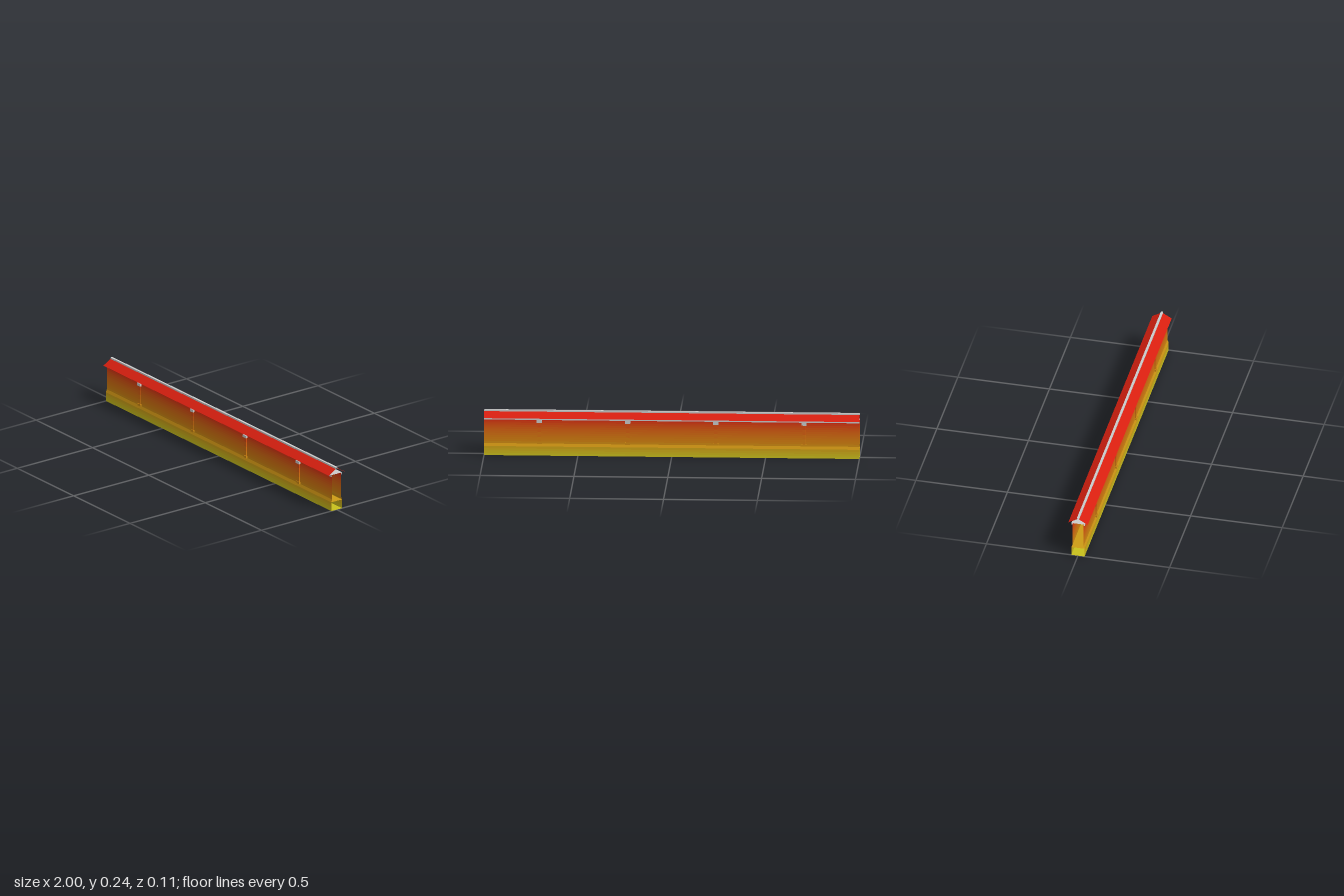
import * as THREE from 'three';

const LOW = new THREE.Color(0xc8c01c);
const MID = new THREE.Color(0xd0800f);
const HIGH = new THREE.Color(0xd81f10);

// Paint colour by height: yellow at the ground, red under the eaves
function paint(y) {
  const t = THREE.MathUtils.clamp(y / 0.2, 0, 1);
  return t < 0.4 ? LOW.clone().lerp(MID, t / 0.4) : MID.clone().lerp(HIGH, (t - 0.4) / 0.6);
}

function material(color) {
  return new THREE.MeshStandardMaterial({ color, side: THREE.DoubleSide });
}

// Full-length sheet between two points [z, y] of the cross-section
function sheet(name, [z0, y0], [z1, y1], color) {
  const geometry = new THREE.PlaneGeometry(2, Math.hypot(z1 - z0, y1 - y0));
  geometry.rotateX(Math.atan2(z1 - z0, y1 - y0));
  geometry.translate(0, (y0 + y1) / 2, (z0 + z1) / 2);
  const mesh = new THREE.Mesh(geometry, material(color));
  mesh.name = name;
  return mesh;
}

// Upright sheet made of bands that follow the paint gradient
function gradedWall(name, z, y0, y1, bands) {
  const group = new THREE.Group();
  group.name = name;
  const step = (y1 - y0) / bands;
  for (let i = 0; i < bands; i++) {
    const y = y0 + i * step;
    group.add(sheet(name + 'Band', [z, y], [z, y + step], paint(y + step / 2)));
  }
  return group;
}

function block(name, width, y0, y1, z0, z1, color) {
  const mesh = new THREE.Mesh(new THREE.BoxGeometry(width, y1 - y0, z1 - z0), material(color));
  mesh.position.set(0, (y0 + y1) / 2, (z0 + z1) / 2);
  mesh.name = name;
  return mesh;
}

// Pillar with foot, shaft and pale cap
function pillar(x) {
  const group = new THREE.Group();
  group.name = 'pillar';
  group.add(block('pillarFoot', 0.026, 0.065, 0.077, 0.03, 0.038, paint(0.071)));
  const bands = 4, step = (0.18 - 0.077) / bands;
  for (let i = 0; i < bands; i++) {
    const y = 0.077 + i * step;
    group.add(block('pillarShaft', 0.018, y, y + step, 0.03, 0.035, paint(y + step / 2)));
  }
  group.add(block('pillarCap', 0.028, 0.18, 0.195, 0.03, 0.041, 0xcccccc));
  group.position.x = x;
  return group;
}

// One long side, facing +z
function side(name) {
  const group = new THREE.Group();
  group.name = name;
  group.add(
    gradedWall('plinth', 0.036, 0, 0.05, 4),
    sheet('plinthLedge', [0.036, 0.05], [0.03, 0.065], paint(0.06)),
    gradedWall('wall', 0.03, 0.065, 0.2, 12),
    sheet('trimUnderside', [0.03, 0.195], [0.036, 0.195], 0xcccccc),
    sheet('trim', [0.036, 0.195], [0.036, 0.205], 0xcccccc),
    sheet('roofSlope', [0.053, 0.206], [0.005, 0.234], 0xd81f10),
    sheet('ridgeSide', [0.006, 0.231], [0.006, 0.242], 0xcccccc)
  );
  for (const x of [-0.705, -0.235, 0.235, 0.705]) group.add(pillar(x));
  return group;
}

export function createModel() {
  const model = new THREE.Group();
  model.name = 'coveredWall';
  const front = side('frontSide');
  const back = side('backSide');
  back.rotation.y = Math.PI;
  model.add(front, back);

  // Horizontal sheets closing the hollow wall
  model.add(
    sheet('floor', [-0.036, 0], [0.036, 0], paint(0)),
    sheet('innerFloor', [-0.036, 0.05], [0.036, 0.05], paint(0.05)),
    sheet('ceiling', [0.036, 0.205], [-0.036, 0.205], 0xcccccc),
    sheet('ridgeTop', [0.006, 0.242], [-0.006, 0.242], 0xcccccc)
  );
  return model;
}
